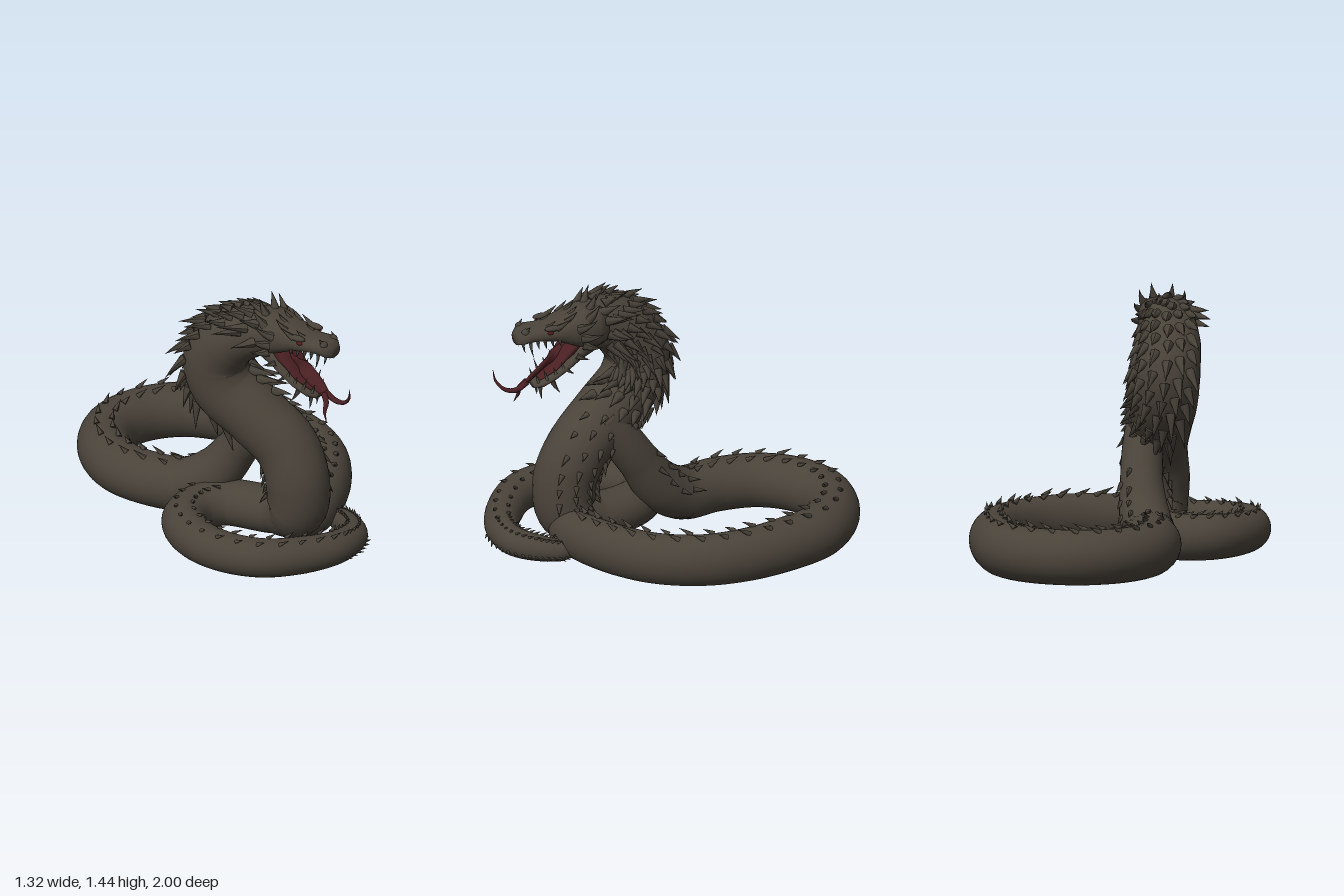
import * as THREE from 'three';
import { mergeGeometries } from 'three/addons/utils/BufferGeometryUtils.js';

const V = (x, y, z) => new THREE.Vector3(x, y, z);
const mat = (name, color) => new THREE.MeshStandardMaterial({ name, color });

// Closed smooth skin through a list of point rings
function skin(rings) {
  const m = rings[0].length, n = rings.length, pos = [], idx = [];
  rings.forEach(r => r.forEach(p => pos.push(p.x, p.y, p.z)));
  for (const r of [rings[0], rings[n - 1]]) {
    const c = r.reduce((s, p) => s.add(p), V(0, 0, 0)).divideScalar(m);
    pos.push(c.x, c.y, c.z);
  }
  for (let j = 0; j < m; j++) {
    const k = (j + 1) % m;
    for (let i = 0; i < n - 1; i++) {
      const a = i * m + j, b = i * m + k;
      idx.push(a, b, a + m, b, b + m, a + m);
    }
    idx.push(n * m, k, j, n * m + 1, (n - 1) * m + j, (n - 1) * m + k);
  }
  const g = new THREE.BufferGeometry();
  g.setAttribute('position', new THREE.Float32BufferAttribute(pos, 3));
  g.setIndex(idx);
  g.computeVertexNormals();
  return g;
}

// Tapered path from points [x, y, z, side radius, optional upright radius]
function makePath(pts) {
  const curve = new THREE.CatmullRomCurve3(pts.map(p => V(p[0], p[1], p[2])));
  const last = pts.length - 1;
  // k runs over the control points; N is the back of the animal
  const at = k => {
    const t = Math.min(k / last, 1), i = Math.min(Math.floor(k), last - 1), f = k - i;
    const c = curve.getPoint(t), T = curve.getTangent(t);
    const N = V(0, 1, 0).lerp(V(0.4, 0.25, -1), THREE.MathUtils.smoothstep(Math.abs(T.y), 0.1, 0.6));
    N.addScaledVector(T, -N.dot(T)).normalize();
    const B = T.clone().cross(N);
    const r = THREE.MathUtils.lerp(pts[i][3], pts[i + 1][3], f);
    const h = THREE.MathUtils.lerp(pts[i][4] ?? pts[i][3], pts[i + 1][4] ?? pts[i + 1][3], f);
    const around = a => c.clone().addScaledVector(N, h * Math.cos(a)).addScaledVector(B, r * Math.sin(a));
    return { c, T, around };
  };
  const geometry = (steps, sides) => {
    const rings = [];
    for (let i = 0; i <= last * steps; i++) {
      const f = at(i / steps);
      rings.push(Array.from({ length: sides }, (_, j) => f.around(j / sides * Math.PI * 2)));
    }
    return skin(rings);
  };
  return { at, geometry };
}

// Loft along z from sections [z, centre y, half width, half height]
function loft(sections, sides = 20) {
  return skin(sections.map(([z, y, w, h]) => Array.from({ length: sides }, (_, j) => {
    const a = j / sides * Math.PI * 2, c = Math.cos(a), s = Math.sin(a);
    return V(-w * Math.sign(s) * Math.abs(s) ** 0.8, y + h * Math.sign(c) * Math.abs(c) ** 0.8, z);
  })));
}

// Pointed spike from base p along direction d, with its tip bent by curl
function spike(p, d, len, rad, curl = V(0, 0, 0)) {
  const g = new THREE.ConeGeometry(rad, len, 7, 3);
  g.translate(0, len * 0.42, 0);
  const u = d.clone().normalize();
  g.applyQuaternion(new THREE.Quaternion().setFromUnitVectors(V(0, 1, 0), u));
  const a = g.attributes.position;
  for (let i = 0; i < a.count; i++) {
    const q = V(a.getX(i), a.getY(i), a.getZ(i)), s = Math.max(0, q.dot(u) / len);
    q.addScaledVector(curl, len * s * s);
    a.setXYZ(i, q.x, q.y, q.z);
  }
  g.translate(p.x, p.y, p.z);
  g.computeVertexNormals();
  return g;
}

export function createModel() {
  const root = new THREE.Group();
  const hide = mat('dark brown hide', 0x4a433a), spineMat = mat('spine grey brown', 0x474138);
  const toothMat = mat('tooth grey', 0x504e45), red = mat('tongue dark red', 0x4b2023), eyeMat = mat('eye red', 0x5e1c1e);
  const add = (parent, name, geo, m) => {
    const mesh = new THREE.Mesh(geo, m);
    mesh.name = name;
    parent.add(mesh);
  };

  // Neck, raised column, front coil and tail
  const neck = makePath([
    [-0.05, 1.23, 0.51, 0.11], [-0.14, 1.225, 0.4, 0.14], [-0.22, 1.145, 0.27, 0.165], [-0.25, 1.0, 0.19, 0.176],
    [-0.22, 0.85, 0.22, 0.174], [-0.11, 0.7, 0.36, 0.172], [-0.005, 0.54, 0.5, 0.172], [0.02, 0.36, 0.57, 0.172],
    [0.02, 0.19, 0.55, 0.167], [-0.03, 0.135, 0.42, 0.13], [-0.2, 0.13, 0.2, 0.125], [-0.36, 0.125, 0.17, 0.125],
    [-0.49, 0.125, 0.25, 0.122], [-0.547, 0.12, 0.42, 0.115], [-0.51, 0.115, 0.63, 0.11], [-0.372, 0.11, 0.812, 0.105],
    [-0.15, 0.1, 0.892, 0.1], [0.05, 0.092, 0.9, 0.09], [0.2, 0.085, 0.83, 0.08], [0.26, 0.075, 0.7, 0.07],
    [0.265, 0.065, 0.58, 0.058], [0.22, 0.05, 0.48, 0.02]]);
  // Large back coil, sloping down from the neck and returning to its foot
  const coil = makePath([
    [-0.03, 0.72, 0.38, 0.11], [-0.05, 0.6, 0.29, 0.11], [-0.1, 0.42, 0.175, 0.113], [-0.175, 0.25, 0.07, 0.135],
    [-0.275, 0.155, -0.05, 0.145], [-0.4, 0.145, -0.23, 0.145], [-0.457, 0.145, -0.45, 0.145],
    [-0.4, 0.147, -0.66, 0.145, 0.147], [-0.25, 0.148, -0.81, 0.145, 0.148], [-0.03, 0.148, -0.855, 0.145, 0.148],
    [0.185, 0.148, -0.785, 0.143, 0.148], [0.35, 0.147, -0.61, 0.138, 0.147], [0.48, 0.145, -0.4, 0.125, 0.145],
    [0.545, 0.142, -0.17, 0.115, 0.142], [0.52, 0.14, 0.08, 0.115, 0.14], [0.42, 0.14, 0.28, 0.115, 0.14],
    [0.28, 0.135, 0.44, 0.115, 0.135], [0.13, 0.125, 0.55, 0.105, 0.125], [0, 0.12, 0.54, 0.09, 0.1]]);
  add(root, 'neckAndTail', neck.geometry(8, 28), hide);
  add(root, 'backCoil', coil.geometry(8, 28), hide);

  // Spines growing along a path at the given angles, leaning to the tail
  const spines = [];
  const row = (path, from, to, step, angles, len, rad, lean) => {
    let n = 0;
    for (let k = from; k <= to; k += step, n++) angles.forEach((deg, i) => {
      const f = path.at(k + (i % 2) * step / 2), p = f.around(deg * Math.PI / 180);
      const out = p.clone().sub(f.c).normalize();
      const size = 0.9 + 0.2 * Math.sin(n * 2.3 + i * 1.7);
      spines.push(spike(p, f.T.clone().multiplyScalar(lean).add(out), len * size, rad, f.T.clone().multiplyScalar(0.25)));
    });
  };
  row(neck, 0.7, 4.9, 0.36, [-48, -24, 0, 24, 48], 0.1, 0.03, 1.35);
  row(neck, 0.8, 4.8, 0.36, [-92, -70, 70, 92], 0.13, 0.03, 1);
  row(neck, 5.2, 7.8, 0.4, [-75, -45, -15, 15, 45, 75], 0.058, 0.017, 1.3);
  row(neck, 10.2, 17, 0.45, [-22, 22], 0.05, 0.013, 1.4);
  row(neck, 17, 20.4, 0.22, [-20, 25, 112], 0.036, 0.009, 1.2);
  row(coil, 2, 16, 0.5, [-16, 16], 0.065, 0.017, 1.4);
  add(root, 'spines', mergeGeometries(spines), spineMat);

  // Head
  const head = new THREE.Group();
  head.name = 'head';
  head.position.set(-0.055, 1.225, 0.5);
  head.rotation.y = 0.4;
  root.add(head);
  add(head, 'skullAndUpperJaw', loft([
    [-0.14, 0.01, 0.1, 0.1], [-0.08, 0.015, 0.13, 0.12], [0, 0.015, 0.13, 0.115], [0.08, 0.02, 0.118, 0.085],
    [0.14, 0.02, 0.105, 0.058], [0.22, 0.018, 0.09, 0.042], [0.29, 0.022, 0.086, 0.042], [0.335, 0.012, 0.074, 0.044],
    [0.362, 0, 0.046, 0.032]]), hide);
  add(head, 'lowerJaw', loft([
    [-0.06, -0.07, 0.1, 0.06], [0.02, -0.11, 0.108, 0.055], [0.08, -0.165, 0.104, 0.042], [0.15, -0.222, 0.092, 0.032],
    [0.22, -0.265, 0.074, 0.028], [0.265, -0.282, 0.045, 0.018]]), hide);
  add(head, 'mouthLining', loft([
    [0.02, -0.075, 0.085, 0.05], [0.09, -0.12, 0.088, 0.03], [0.15, -0.19, 0.074, 0.016], [0.235, -0.247, 0.046, 0.01]], 14), red);

  // Forked tongue
  const tongue = [
    [[0, -0.11, 0.06, 0.045, 0.016], [0, -0.165, 0.17, 0.045, 0.015], [0, -0.235, 0.26, 0.036, 0.013], [0, -0.285, 0.32, 0.018, 0.01]],
    [[0.005, -0.265, 0.295, 0.018], [0.01, -0.3, 0.36, 0.015], [0, -0.29, 0.42, 0.011], [-0.02, -0.24, 0.465, 0.007], [-0.035, -0.18, 0.475, 0.001]],
    [[-0.005, -0.265, 0.295, 0.018], [-0.03, -0.31, 0.325, 0.014], [-0.045, -0.35, 0.325, 0.01], [-0.06, -0.4, 0.345, 0.001]]];
  add(head, 'tongue', mergeGeometries(tongue.map(p => makePath(p).geometry(6, 10))), red);

  const teeth = [], horns = [], eyes = [];
  for (const s of [-1, 1]) {
    // Upper fangs, smaller teeth and lower teeth
    [[0.335, 0.048, 0.07], [0.3, 0.07, 0.1], [0.26, 0.075, 0.045], [0.22, 0.078, 0.05], [0.18, 0.083, 0.045], [0.14, 0.088, 0.04]]
      .forEach(([z, x, l]) => teeth.push(spike(V(s * x, -0.014, z), V(0, -1, -0.05), l, 0.011, V(0, 0, -0.2))));
    [[0.245, 0.044, 0.06, -0.258], [0.205, 0.067, 0.08, -0.237], [0.16, 0.08, 0.04, -0.209], [0.12, 0.088, 0.04, -0.177]]
      .forEach(([z, x, l, y]) => teeth.push(spike(V(s * x, y, z), V(0, 1, 0.35), l, 0.009)));
    // Crown horns, brow, cheek and jaw spikes as [x, y, z, dx, dy, dz, length, radius]
    [[0.042, 0.115, -0.05, 0.3, 1, -0.3, 0.1, 0.03], [0.1, 0.09, -0.03, 0.6, 1, -0.6, 0.1, 0.028],
      [0.025, 0.09, 0.07, 0.1, 1, -1.1, 0.07, 0.02], [0.07, 0.08, 0.09, 0.4, 1, -1.1, 0.075, 0.02],
      [0.09, 0.06, 0.15, 0.35, 0.6, -1.1, 0.08, 0.02], [0.045, 0.055, 0.19, 0.1, 0.7, -1.2, 0.05, 0.015],
      [0.12, 0.045, 0.03, 1, 0.5, -1, 0.12, 0.028], [0.125, -0.01, 0.01, 1, 0.1, -1, 0.13, 0.028],
      [0.115, -0.06, 0, 1, -0.3, -1, 0.12, 0.025], [0.1, -0.12, 0.04, 0.7, -0.5, -0.9, 0.08, 0.018],
      [0.09, -0.19, 0.1, 0.6, -0.7, -0.7, 0.06, 0.014], [0.065, -0.265, 0.17, 0.3, -1, -0.4, 0.09, 0.016],
      [0.028, -0.28, 0.23, 0.1, -1, 0, 0.12, 0.016], [0.052, 0.052, 0.32, 0.3, 0.7, -0.6, 0.035, 0.014]]
      .forEach(([x, y, z, dx, dy, dz, l, r]) =>
        horns.push(spike(V(s * x, y, z), V(s * dx, dy, dz), l, r, V(-s * dx * 0.4, 0.15, -0.1))));
    // Nostril bumps, brow ridges and eyes
    horns.push(new THREE.SphereGeometry(0.022, 12, 8).translate(s * 0.047, 0.045, 0.32));
    horns.push(new THREE.SphereGeometry(0.02, 12, 8).scale(1.1, 0.8, 2.6).translate(s * 0.085, 0.062, 0.175));
    eyes.push(new THREE.SphereGeometry(0.013, 12, 8).scale(0.8, 0.8, 1.3).translate(s * 0.093, 0.04, 0.195));
  }
  add(head, 'teeth', mergeGeometries(teeth), toothMat);
  add(head, 'hornsAndBrows', mergeGeometries(horns), spineMat);
  add(head, 'eyes', mergeGeometries(eyes), eyeMat);
  return root;
}
